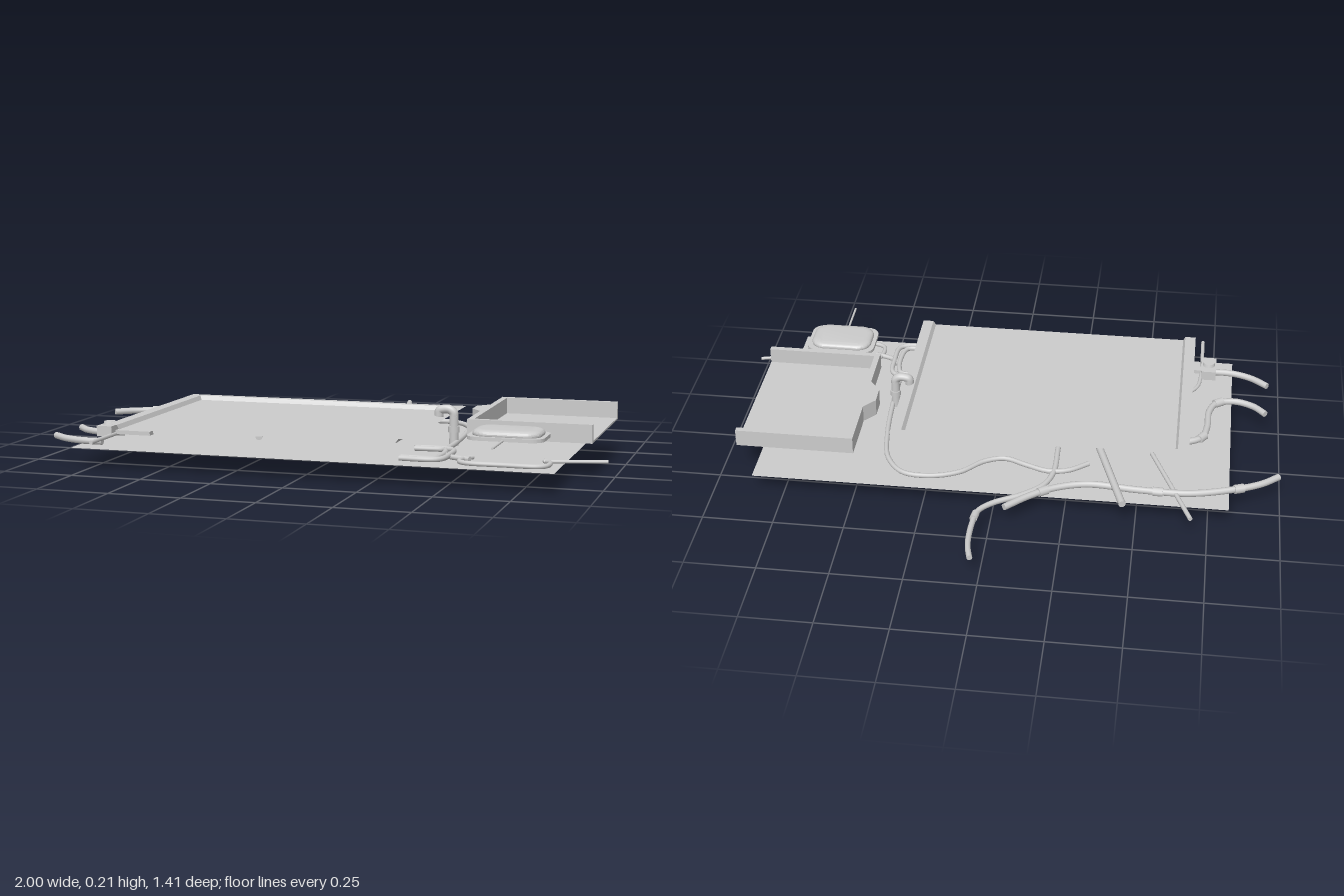
import * as THREE from 'three';
import { toCreasedNormals } from 'three/addons/utils/BufferGeometryUtils.js';

const mat = new THREE.MeshStandardMaterial({ color: 0xcccccc });
const thin = new THREE.MeshStandardMaterial({ color: 0xcccccc, side: THREE.DoubleSide });

export function createModel() {
  const model = new THREE.Group();

  const add = (name, geometry, material = mat, parent = model) => {
    const mesh = new THREE.Mesh(geometry, material);
    mesh.name = name;
    parent.add(mesh);
    return mesh;
  };

  // Round cable through [x, z] or [x, z, y] points, with closed ends and optional collars
  const cable = (name, y, radius, points, collars = [], straight = false) => {
    const group = new THREE.Group();
    group.name = name;
    model.add(group);
    const pts = points.map(([x, z, py = y]) => new THREE.Vector3(x, py, z));
    const curve = straight ? new THREE.LineCurve3(pts[0], pts[1]) : new THREE.CatmullRomCurve3(pts);
    add(name + 'Tube', new THREE.TubeGeometry(curve, straight ? 1 : pts.length * 6, radius, 10), mat, group);
    for (const t of [0, 1]) {
      const cap = add(name + 'End', new THREE.CircleGeometry(radius, 10), thin, group);
      cap.position.copy(curve.getPointAt(t));
      cap.lookAt(cap.position.clone().add(curve.getTangentAt(t)));
    }
    for (const t of collars) {
      const collar = add(name + 'Collar', new THREE.CylinderGeometry(radius * 1.35, radius * 1.35, 0.035, 12), mat, group);
      collar.position.copy(curve.getPointAt(t));
      collar.quaternion.setFromUnitVectors(new THREE.Vector3(0, 1, 0), curve.getTangentAt(t));
    }
  };

  // Plan outline in [x, z], extruded downwards from the given top height
  const slab = (name, shape, top, depth, bevel = {}) => {
    const g = new THREE.ExtrudeGeometry(shape, { depth, bevelEnabled: false, curveSegments: 8, ...bevel });
    g.rotateX(Math.PI / 2);
    add(name, toCreasedNormals(g, 0.6)).position.y = top;
  };
  const outline = pts => new THREE.Shape(pts.map(p => new THREE.Vector2(...p)));
  const roundedRect = (x0, x1, z0, z1, r) => {
    const s = new THREE.Shape();
    s.absarc(x1 - r, z1 - r, r, 0, Math.PI / 2);
    s.absarc(x0 + r, z1 - r, r, Math.PI / 2, Math.PI);
    s.absarc(x0 + r, z0 + r, r, Math.PI, Math.PI * 1.5);
    s.absarc(x1 - r, z0 + r, r, Math.PI * 1.5, Math.PI * 2);
    return s;
  };

  // Base sheet
  const base = new THREE.PlaneGeometry(1.68, 0.94).rotateX(-Math.PI / 2);
  add('baseSheet', base, thin).position.set(0.02, 0.068, 0.14);

  // Main panel: flange, sloped step and recessed floor, open at the front
  const loop = (xl, xr, zb, y) => [[xl, y, 0.638], [xl, y, zb], [xr, y, zb], [xr, y, 0.638]];
  const loops = [
    loop(-0.672, 0.396, -0.145, 0.16),
    loop(-0.632, 0.357, -0.116, 0.16),
    loop(-0.624, 0.347, -0.106, 0.145),
  ];
  const tris = [];
  const quad = (a, b, c, d) => tris.push(...a, ...c, ...b, ...a, ...d, ...c);
  for (let k = 0; k < 2; k++)
    for (let i = 0; i < 3; i++)
      quad(loops[k][i], loops[k + 1][i], loops[k + 1][i + 1], loops[k][i + 1]);
  quad(loops[2][0], loops[2][3], loops[2][2], loops[2][1]);
  const panel = new THREE.BufferGeometry();
  panel.setAttribute('position', new THREE.Float32BufferAttribute(tris, 3));
  // Make every face look upwards
  const p = panel.attributes.position;
  for (let i = 0; i < p.count; i += 3) {
    const [a, b, c] = [0, 1, 2].map(k => new THREE.Vector3().fromBufferAttribute(p, i + k));
    if (b.clone().sub(a).cross(c.clone().sub(a)).y < 0) {
      p.setXYZ(i + 1, c.x, c.y, c.z);
      p.setXYZ(i + 2, b.x, b.y, b.z);
    }
  }
  panel.computeVertexNormals();
  add('mainPanel', panel, thin);

  // Side tray: floor and a wall on three sides, with a bulge in the inner wall
  const bulge = [[0.512, 0.335], [0.512, 0.14], [0.473, 0.09], [0.473, 0.02], [0.512, -0.025], [0.512, -0.23]];
  slab('trayFloor', outline([[0.935, 0.335], ...bulge, [0.935, -0.23]]), 0.13, 0.006);
  slab('trayWall', outline([[0.935, 0.335], ...bulge, [0.935, -0.23],
    [0.935, -0.21], [0.533, -0.21], [0.533, 0.315], [0.935, 0.315]]), 0.187, 0.057);

  // Upright pipe with a hooked spout
  add('standPipe', new THREE.CylinderGeometry(0.016, 0.016, 0.17, 16)).position.set(0.428, 0.085, 0.175);
  add('pipeCollar', new THREE.CylinderGeometry(0.02, 0.02, 0.02, 16)).position.set(0.428, 0.125, 0.175);
  cable('spout', 0, 0.016, [[0.428, 0.175, 0.165], [0.426, 0.175, 0.182], [0.412, 0.175, 0.193],
    [0.39, 0.175, 0.193], [0.377, 0.175, 0.188], [0.374, 0.175, 0.168]]);

  // Domed pad on a rounded plate
  slab('padPlate', roundedRect(0.553, 0.81, 0.368, 0.55, 0.045), 0.164, 0.012);
  slab('padDome', roundedRect(0.595, 0.768, 0.408, 0.51, 0.025), 0.171, 0.004,
    { bevelEnabled: true, bevelThickness: 0.013, bevelSize: 0.028, bevelSegments: 5 });
  cable('padFrontWire', 0.155, 0.004, [[0.68, 0.54], [0.68, 0.702]], [], true);
  cable('padSideWire', 0.08, 0.006, [[0.8, 0.465], [1, 0.41]], [], true);
  cable('padLoop', 0.08, 0.008, [[0.56, 0.45], [0.54, 0.48], [0.537, 0.545], [0.565, 0.566],
    [0.68, 0.568], [0.795, 0.566], [0.823, 0.545], [0.823, 0.48], [0.8, 0.455]]);

  // Small junction box with its cables
  add('junctionBox', new THREE.BoxGeometry(0.055, 0.036, 0.1)).position.set(-0.728, 0.118, 0.485);
  add('junctionButton', new THREE.CylinderGeometry(0.02, 0.024, 0.014, 12)).position.set(-0.728, 0.14, 0.485);
  add('junctionTab', new THREE.BoxGeometry(0.13, 0.014, 0.03)).position.set(-0.637, 0.111, 0.485);
  cable('junctionSideCable', 0.08, 0.012, [[-0.952, 0.45], [-0.89, 0.497], [-0.82, 0.522], [-0.74, 0.525]]);
  cable('junctionFrontWire', 0.105, 0.007, [[-0.702, 0.695], [-0.702, 0.58], [-0.7, 0.45], [-0.69, 0.38], [-0.66, 0.33]]);

  // Curved cables on the base
  cable('sideCable', 0.08, 0.012, [[-0.945, 0.26], [-0.9, 0.305], [-0.83, 0.33], [-0.765, 0.31], [-0.738, 0.25],
    [-0.733, 0.15], [-0.715, 0.08], [-0.67, 0.05], [-0.6, 0.045]], [0.35, 0.78]);
  cable('backCable', 0.08, 0.012, [[-0.992, -0.13], [-0.93, -0.18], [-0.83, -0.225], [-0.68, -0.265], [-0.5, -0.265],
    [-0.33, -0.253], [-0.22, -0.285], [-0.13, -0.345], [-0.05, -0.42]], [0.16, 0.44, 0.84]);
  cable('tallCable', 0.08, 0.01, [[0.03, -0.708], [0.045, -0.64], [0.047, -0.53], [0.035, -0.45], [-0.01, -0.4],
    [-0.1, -0.345], [-0.17, -0.28], [-0.2, -0.2], [-0.203, -0.05]], [0.3]);
  cable('longCable', 0.08, 0.009, [[-0.32, -0.13], [-0.25, -0.18], [-0.18, -0.192], [-0.1, -0.165], [-0.02, -0.135],
    [0.05, -0.16], [0.13, -0.235], [0.23, -0.27], [0.33, -0.26], [0.395, -0.18], [0.425, -0.03], [0.44, 0.2],
    [0.445, 0.36], [0.48, 0.46], [0.56, 0.495]]);

  // Straight rods running out from under the panel
  cable('thickRod', 0.107, 0.013, [[-0.455, -0.39], [-0.2, 0.42]], [], true);
  cable('thinRod', 0.08, 0.008, [[-0.69, -0.41], [-0.54, -0.04]], [], true);

  // Bent brackets beside the panel
  for (const inset of [0, 0.022])
    cable('sideBracket', 0.085, 0.009, [[0.34, 0.345 + inset], [0.44, 0.345 + inset], [0.475 - inset, 0.37 + inset],
      [0.482 - inset, 0.45], [0.475 - inset, 0.545 - inset], [0.44, 0.565 - inset], [0.34, 0.565 - inset]]);

  return model;
}
